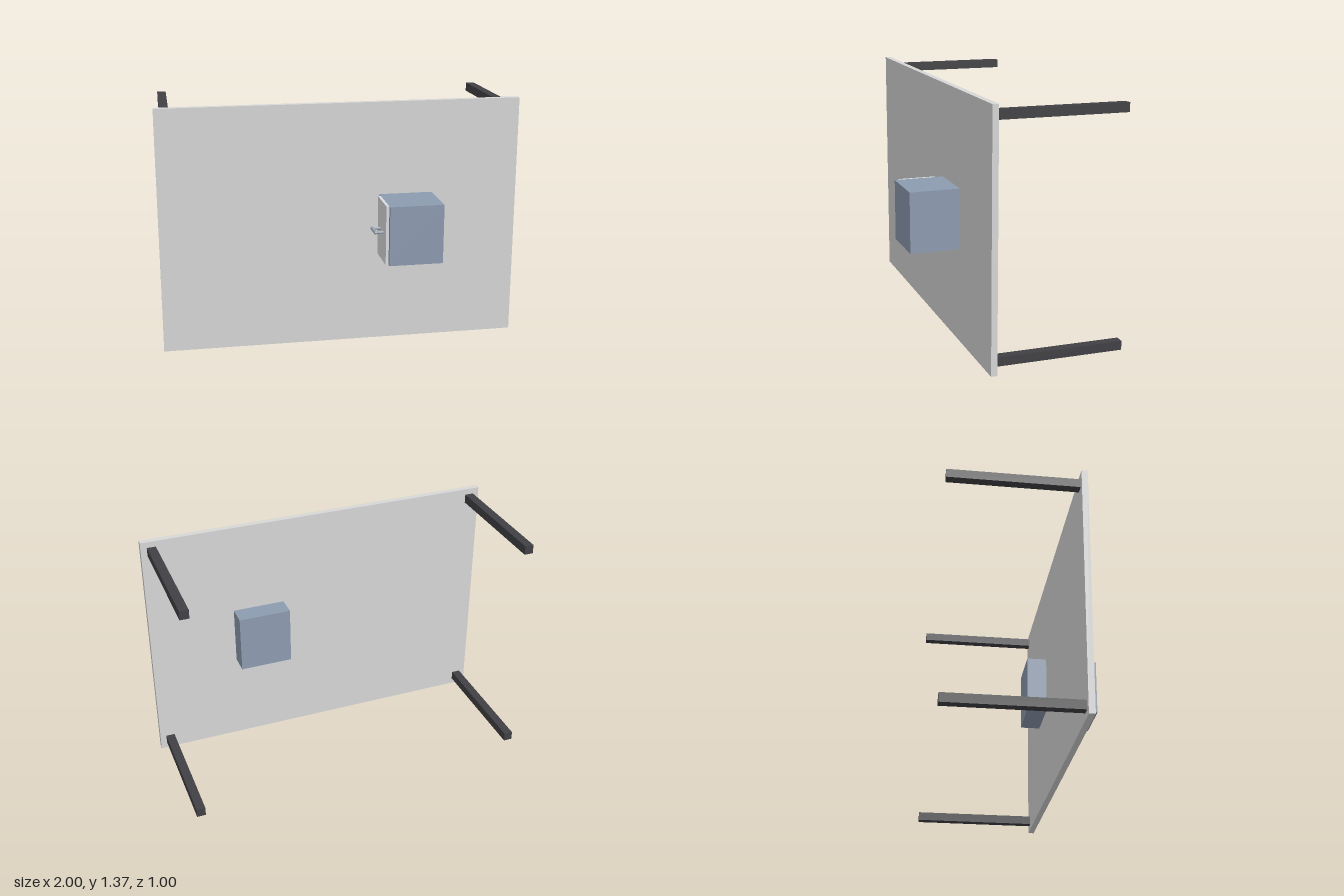
import * as THREE from 'three';

export function createModel() {
  const model = new THREE.Group();
  const mat = (name, color) => {
    const m = new THREE.MeshStandardMaterial({ color });
    m.name = name;
    return m;
  };
  const panelGrey = mat('panel grey', 0xd7d7d7);
  const slate = mat('slate blue grey', 0x8d9bb0);
  const charcoal = mat('charcoal', 0x414145);
  const lightGrey = mat('light grey', 0xdadde1);
  const steel = mat('steel', 0x9ca4b2);

  const add = (parent, name, geometry, material, x, y, z) => {
    const mesh = new THREE.Mesh(geometry, material);
    mesh.name = name;
    mesh.position.set(x, y, z);
    parent.add(mesh);
    return mesh;
  };
  // Box given by its extents on each axis
  const box = (parent, name, material, [x0, x1], [y0, y1], [z0, z1]) =>
    add(parent, name, new THREE.BoxGeometry(x1 - x0, y1 - y0, z1 - z0), material,
      (x0 + x1) / 2, (y0 + y1) / 2, (z0 + z1) / 2);

  // Upright table top with four legs pointing backwards
  box(model, 'tabletop', panelGrey, [-1, 1], [0, 1.367], [0.197, 0.23]);
  const legGeometry = new THREE.BoxGeometry(0.049, 0.049, 0.699);
  for (const x of [-0.941, 0.941])
    for (const y of [0.059, 1.309])
      add(model, 'leg', legGeometry, charcoal, x, y, -0.1525);

  // Cabinet passing through the table top
  const cabinet = new THREE.Group();
  cabinet.name = 'cabinet';
  model.add(cabinet);
  box(cabinet, 'cabinetBody', slate, [0.214, 0.511], [0.521, 0.85], [0.083, 0.501]);
  box(cabinet, 'cabinetDoor', lightGrey, [0.198, 0.214], [0.521, 0.85], [0.272, 0.478]);

  // Door handle: two posts and a grip
  const handle = new THREE.Group();
  handle.name = 'handle';
  cabinet.add(handle);
  for (const z of [0.333, 0.411])
    add(handle, 'handlePost', new THREE.CylinderGeometry(0.007, 0.007, 0.046, 16), steel,
      0.176, 0.686, z).rotation.z = Math.PI / 2;
  add(handle, 'handleGrip', new THREE.CapsuleGeometry(0.009, 0.09, 6, 16), steel,
    0.154, 0.686, 0.372).rotation.x = Math.PI / 2;

  return model;
}
